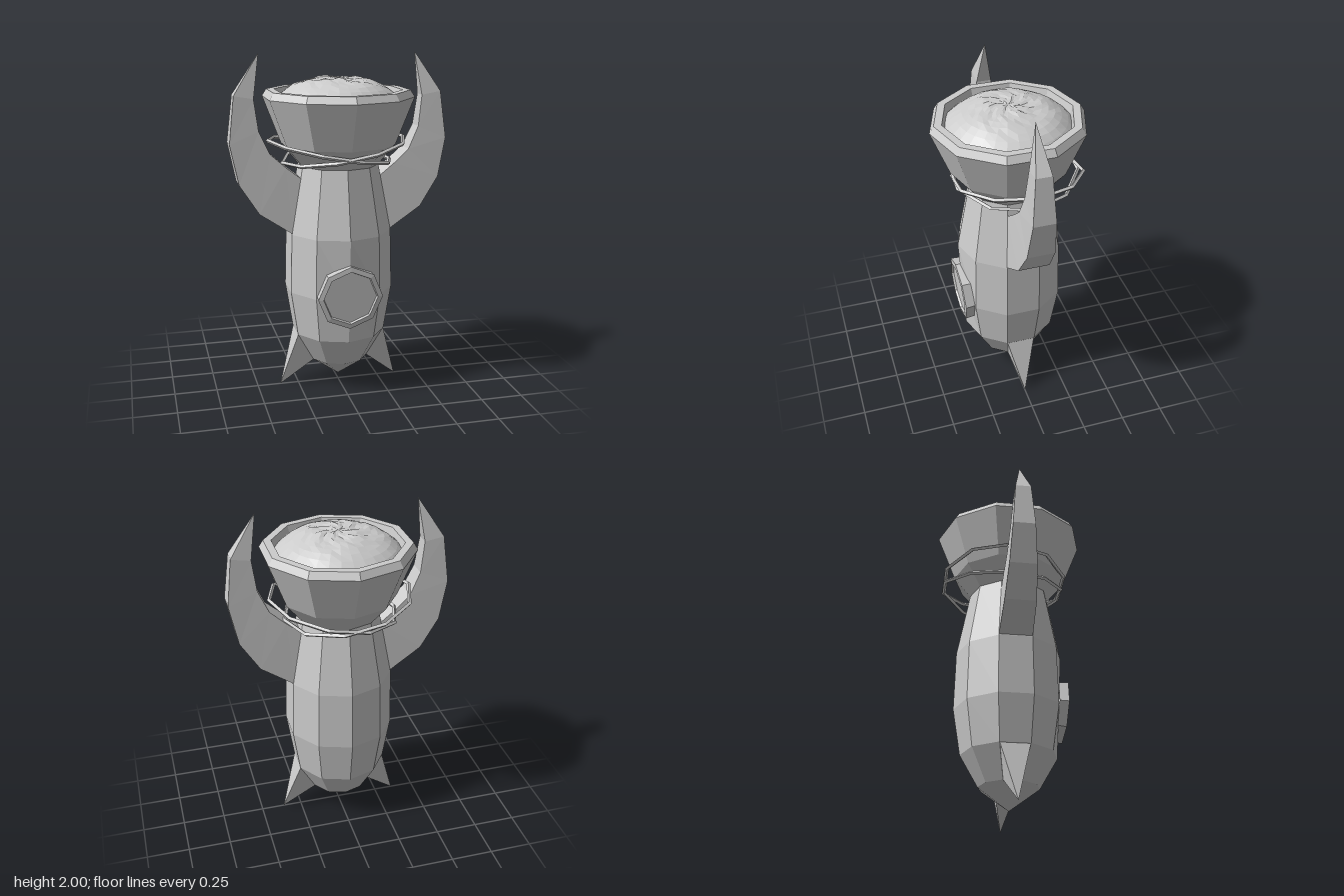
import * as THREE from 'three';

const material = new THREE.MeshStandardMaterial({ color: 0xcccccc, flatShading: true, side: THREE.DoubleSide });

function add(parent, name, geometry) {
  const mesh = new THREE.Mesh(geometry, material);
  mesh.name = name;
  parent.add(mesh);
  return mesh;
}

function lathe(profile, sides) {
  return new THREE.LatheGeometry(profile.map(([r, y]) => new THREE.Vector2(r, y)), sides);
}

// Skins four-sided sections: [outer x, y, half depth, inner x, y, half depth]
function loft(sections) {
  const positions = [], index = [];
  sections.forEach(([ox, oy, od, ix, iy, id], i) => {
    positions.push(ox, oy, od, ox, oy, -od, ix, iy, -id, ix, iy, id);
    if (i === 0) return;
    for (let k = 0; k < 4; k++) {
      const a = (i - 1) * 4 + k, b = (i - 1) * 4 + (k + 1) % 4;
      index.push(a, b, b + 4, a, b + 4, a + 4);
    }
  });
  const geometry = new THREE.BufferGeometry();
  geometry.setAttribute('position', new THREE.Float32BufferAttribute(positions, 3));
  geometry.setIndex(index);
  geometry.computeVertexNormals();
  return geometry;
}

// Domed filling with swirling ripples
function fillingGeometry() {
  const R = 0.362, rings = 10, profile = [];
  for (let i = 0; i <= rings; i++) {
    const t = 1 - i / rings;
    profile.push([R * t, 1.735 + 0.122 * (1 - t ** 3.2)]);
  }
  const geometry = lathe(profile, 30);
  const p = geometry.attributes.position;
  for (let i = 0; i < p.count; i++) {
    const x = p.getX(i), z = p.getZ(i), t = Math.hypot(x, z) / R;
    const a = Math.atan2(x, z);
    const ripple = Math.sin(3 * a + 9 * t) + 0.7 * Math.sin(7 * a - 14 * t) + 0.5 * Math.sin(11 * a + 23 * t);
    p.setY(i, p.getY(i) + 0.007 * ripple * Math.min(1, t * 3) * (1.1 - t));
  }
  geometry.computeVertexNormals();
  return geometry;
}

export function createModel() {
  const model = new THREE.Group();
  model.name = 'hornedVessel';

  // Ten-sided body, flattened at the front behind the porthole
  const body = lathe([[0, 0.04], [0.175, 0.17], [0.278, 0.35], [0.321, 0.62], [0.311, 0.97], [0.236, 1.36]], 10);
  const p = body.attributes.position;
  for (let i = 0; i < p.count; i++) {
    if (Math.abs(p.getY(i) - 0.62) < 0.01 && p.getZ(i) > 0.3) p.setZ(i, 0.292);
  }
  body.computeVertexNormals();
  add(model, 'body', body);

  // Flared bowl with a bevelled rim
  add(model, 'bowl', lathe([[0.236, 1.36], [0.335, 1.48], [0.44, 1.75], [0.415, 1.79], [0.37, 1.79], [0.345, 1.7]], 10));
  add(model, 'filling', fillingGeometry());

  // Horns and tail fins grow out of the flat side faces
  const horn = loft([
    [0.285, 0.97, 0.097, 0.23, 1.29, 0.078],
    [0.48, 1.10, 0.09, 0.32, 1.36, 0.073],
    [0.59, 1.27, 0.078, 0.41, 1.44, 0.066],
    [0.637, 1.50, 0.064, 0.47, 1.57, 0.056],
    [0.605, 1.77, 0.045, 0.493, 1.75, 0.043],
    [0.455, 2.0, 0, 0.455, 2.0, 0],
  ]);
  const fin = loft([
    [0.163, 0.17, 0.054, 0.262, 0.35, 0.085],
    [0.362, 0.005, 0, 0.362, 0.005, 0],
  ]);
  for (const [side, turn] of [['left', 0], ['right', Math.PI]]) {
    add(model, side + 'Horn', horn).rotation.y = turn;
    add(model, side + 'Fin', fin).rotation.y = turn;
  }

  // Two crossed thin hoops around the neck
  const hoop = new THREE.TorusGeometry(0.37, 0.012, 4, 10).rotateX(Math.PI / 2);
  for (const s of [1, -1]) {
    const mesh = add(model, s > 0 ? 'leftHoop' : 'rightHoop', hoop);
    mesh.position.set(s * 0.042, 1.435, -0.04);
    mesh.rotation.z = s * 0.18;
  }

  // Octagonal porthole with a shallow recess
  const porthole = lathe([[0.185, -0.055], [0.19, 0], [0.16, 0.004], [0.155, -0.01], [0, -0.01]], 8);
  const mesh = add(model, 'porthole', porthole.rotateX(Math.PI / 2));
  mesh.position.set(0, 0.635, 0.319);
  mesh.rotation.x = 0.06;

  return model;
}
